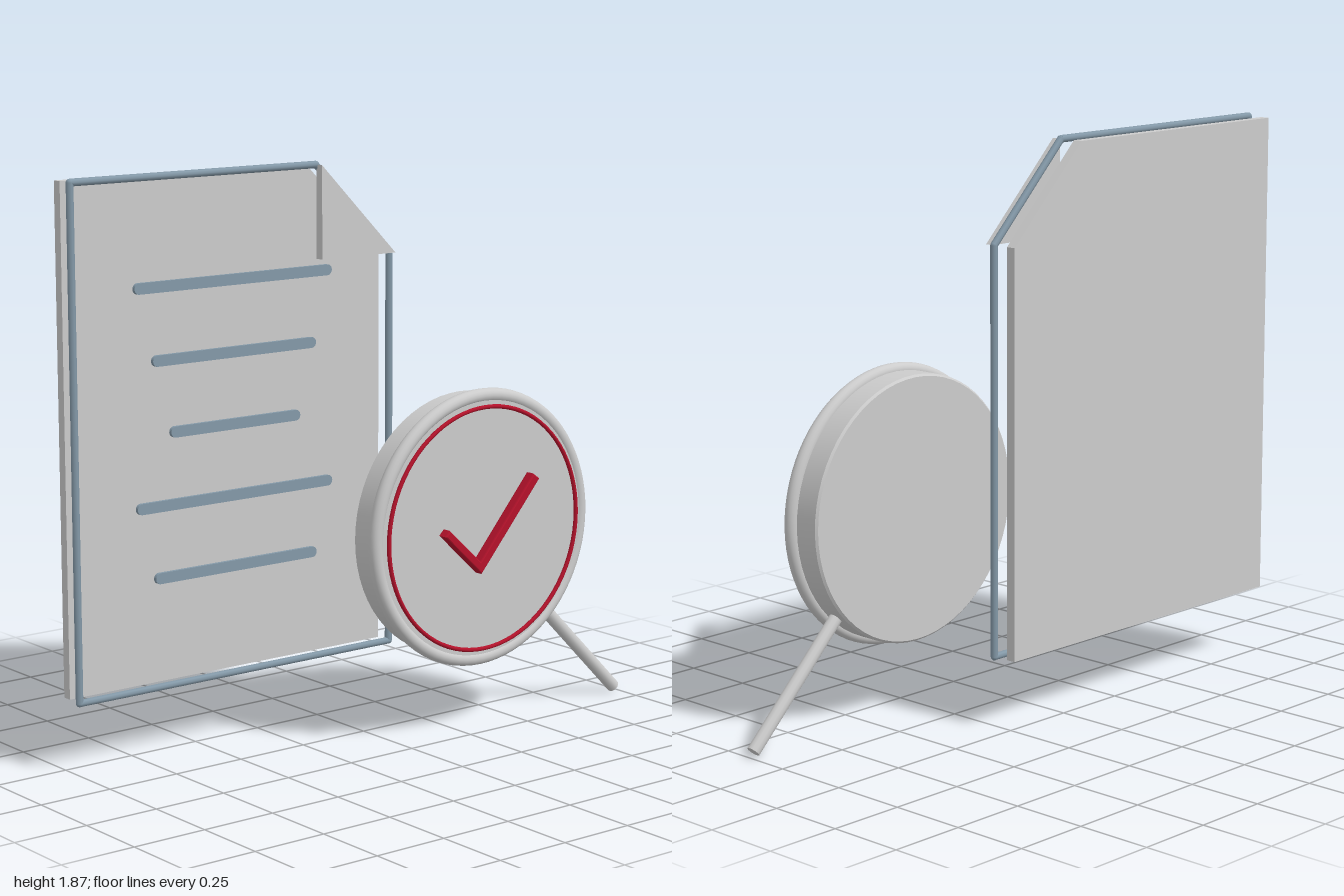
import * as THREE from 'three';
import { toCreasedNormals } from 'three/addons/utils/BufferGeometryUtils.js';

const grey = new THREE.MeshStandardMaterial({ color: 0xcccccc });
const slate = new THREE.MeshStandardMaterial({ color: 0x8499a8 });
const red = new THREE.MeshStandardMaterial({ color: 0xb5122b });

function add(parent, name, geometry, material, x = 0, y = 0, z = 0) {
  const mesh = new THREE.Mesh(geometry, material);
  mesh.name = name;
  mesh.position.set(x, y, z);
  parent.add(mesh);
  return mesh;
}

const polygon = (points) => new THREE.Shape(points.map(([x, y]) => new THREE.Vector2(x, y)));

const slab = (shape, depth) =>
  new THREE.ExtrudeGeometry(shape, { depth, bevelEnabled: false, curveSegments: 6 });

// Round bar between two points
function bar(parent, name, a, b, radius, sides, material) {
  const from = new THREE.Vector3(...a);
  const to = new THREE.Vector3(...b);
  const dir = to.clone().sub(from);
  const mesh = add(parent, name, new THREE.CylinderGeometry(radius, radius, dir.length(), sides), material);
  mesh.position.copy(from).add(to).multiplyScalar(0.5);
  mesh.quaternion.setFromUnitVectors(new THREE.Vector3(0, 1, 0), dir.normalize());
}

// Lying pill outline, centred on the origin
function pill(length, height) {
  const r = height / 2;
  const h = length / 2 - r;
  const shape = new THREE.Shape();
  shape.moveTo(-h, -r);
  shape.lineTo(h, -r);
  shape.absarc(h, 0, r, -Math.PI / 2, Math.PI / 2, false);
  shape.lineTo(-h, r);
  shape.absarc(-h, 0, r, Math.PI / 2, Math.PI * 1.5, false);
  return shape;
}

function createDocument() {
  const group = new THREE.Group();
  group.name = 'document';

  // Page with a cut corner
  const outline = [[-0.988, 0.232], [0.252, 0.232], [0.252, 1.552], [-0.052, 1.856], [-0.988, 1.856]];
  add(group, 'page', slab(polygon(outline), 0.032), grey, 0, 0, -0.268);

  // Thin frame floating in front of the page
  const frameZ = -0.181;
  outline.forEach(([x, y], i) => {
    const [nx, ny] = outline[(i + 1) % outline.length];
    bar(group, 'frameEdge', [x, y, frameZ], [nx, ny, frameZ], 0.012, 8, slate);
    add(group, 'frameCorner', new THREE.SphereGeometry(0.012, 8, 6), slate, x, y, frameZ);
  });

  // Folded corner
  const fold = polygon([[-0.052, 1.552], [0.252, 1.552], [-0.052, 1.856]]);
  add(group, 'foldedCorner', slab(fold, 0.03), grey, 0, 0, -0.177);

  // Text lines
  [0.765, 0.635, 0.505, 0.765, 0.635].forEach((length, i) => {
    add(group, 'textLine', slab(pill(length, 0.035), 0.012), slate, -0.417, 1.522 - i * 0.23, -0.132);
  });
  return group;
}

function createMagnifier() {
  const group = new THREE.Group();
  group.name = 'magnifier';
  const cx = 0.32, cy = 0.68;

  // Solid lens body with softened rims
  const profile = [[0, 0.096], [0.43, 0.096], [0.437, 0.103], [0.437, 0.215], [0.427, 0.225], [0, 0.225]];
  const body = new THREE.LatheGeometry(profile.map(([r, h]) => new THREE.Vector2(r, h)), 64);
  body.rotateX(Math.PI / 2);
  add(group, 'lensBody', toCreasedNormals(body, 0.5), grey, cx, cy, 0);

  // Outer rim and thin red ring
  add(group, 'rim', new THREE.TorusGeometry(0.437, 0.023, 16, 80), grey, cx, cy, 0.208);
  add(group, 'redRing', new THREE.TorusGeometry(0.402, 0.007, 8, 80), red, cx, cy, 0.232);

  // Check mark
  const check = polygon([
    [0.136, 0.682], [0.284, 0.544], [0.527, 0.824], [0.508, 0.838], [0.281, 0.574], [0.15, 0.695],
  ]);
  const tick = new THREE.ExtrudeGeometry(check, {
    depth: 0.026, bevelThickness: 0.006, bevelSize: 0.004, bevelSegments: 2,
  });
  add(group, 'checkMark', tick, red, 0, 0, 0.229);

  // Handle
  bar(group, 'handle', [0.61, 0.39, 0.152], [0.983, 0.017, 0.152], 0.022, 12, grey);
  return group;
}

export function createModel() {
  const model = new THREE.Group();
  model.name = 'documentReview';
  model.add(createDocument(), createMagnifier());
  return model;
}
